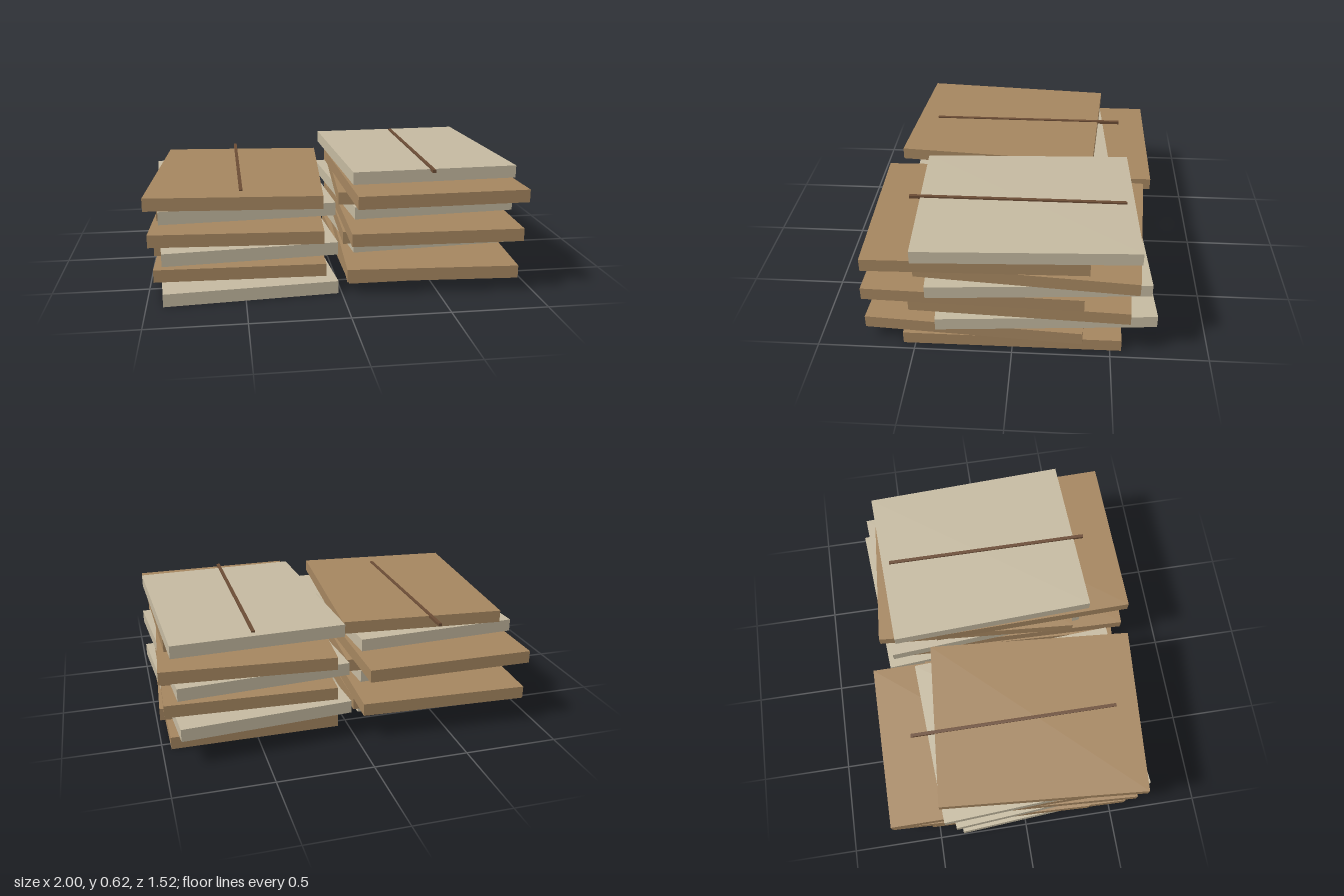
import * as THREE from 'three';

const W = 0.9, D = 1.12, H = 0.0675, X = 0.507;

// Each slab, bottom to top: [centre z, turn about y]
const LEFT_COLUMN = [
  [0.16, 0.072], [0.034, -0.024], [-0.178, -0.04], [0.128, 0.075],
  [0.085, -0.057], [-0.184, 0.004], [0.082, 0.058], [0.125, -0.077],
];
const RIGHT_COLUMN = [
  [0.004, 0.004], [0.176, -0.059], [-0.14, 0.075], [-0.05, -0.04], [0.19, -0.024],
  [-0.1, 0.072], [-0.097, -0.073], [0.19, 0.023], [-0.05, 0.044],
];

export function createModel() {
  const model = new THREE.Group();
  const brown = new THREE.MeshStandardMaterial({ color: 0xa4855f });
  brown.name = 'brown';
  const cream = new THREE.MeshStandardMaterial({ color: 0xc4b9a0 });
  cream.name = 'cream';
  const darkBrown = new THREE.MeshStandardMaterial({ color: 0x6b4c35 });
  darkBrown.name = 'darkBrown';

  const slabGeometry = new THREE.BoxGeometry(W, H, D);
  const strapGeometry = new THREE.BoxGeometry(0.018, 0.016, 1.136);

  // A column of loosely stacked slabs; every third one is cream
  function addStack(name, x, slabs, creamOffset, strapTop) {
    const stack = new THREE.Group();
    stack.name = name;
    slabs.forEach(([z, turn], i) => {
      const slab = new THREE.Mesh(slabGeometry, i % 3 === creamOffset ? cream : brown);
      slab.name = 'slab' + (i + 1);
      slab.position.set(x, (i + 0.5) * H, z);
      slab.rotation.y = turn;
      stack.add(slab);
    });
    // Thin strap lying along the top slab
    const strap = new THREE.Mesh(strapGeometry, darkBrown);
    strap.name = 'strap';
    strap.position.set(x, strapTop - 0.008, 0);
    stack.add(strap);
    model.add(stack);
  }

  addStack('rightStack', -X, LEFT_COLUMN, 0, 0.546);
  addStack('leftStack', X, RIGHT_COLUMN, 2, 0.616);
  return model;
}
